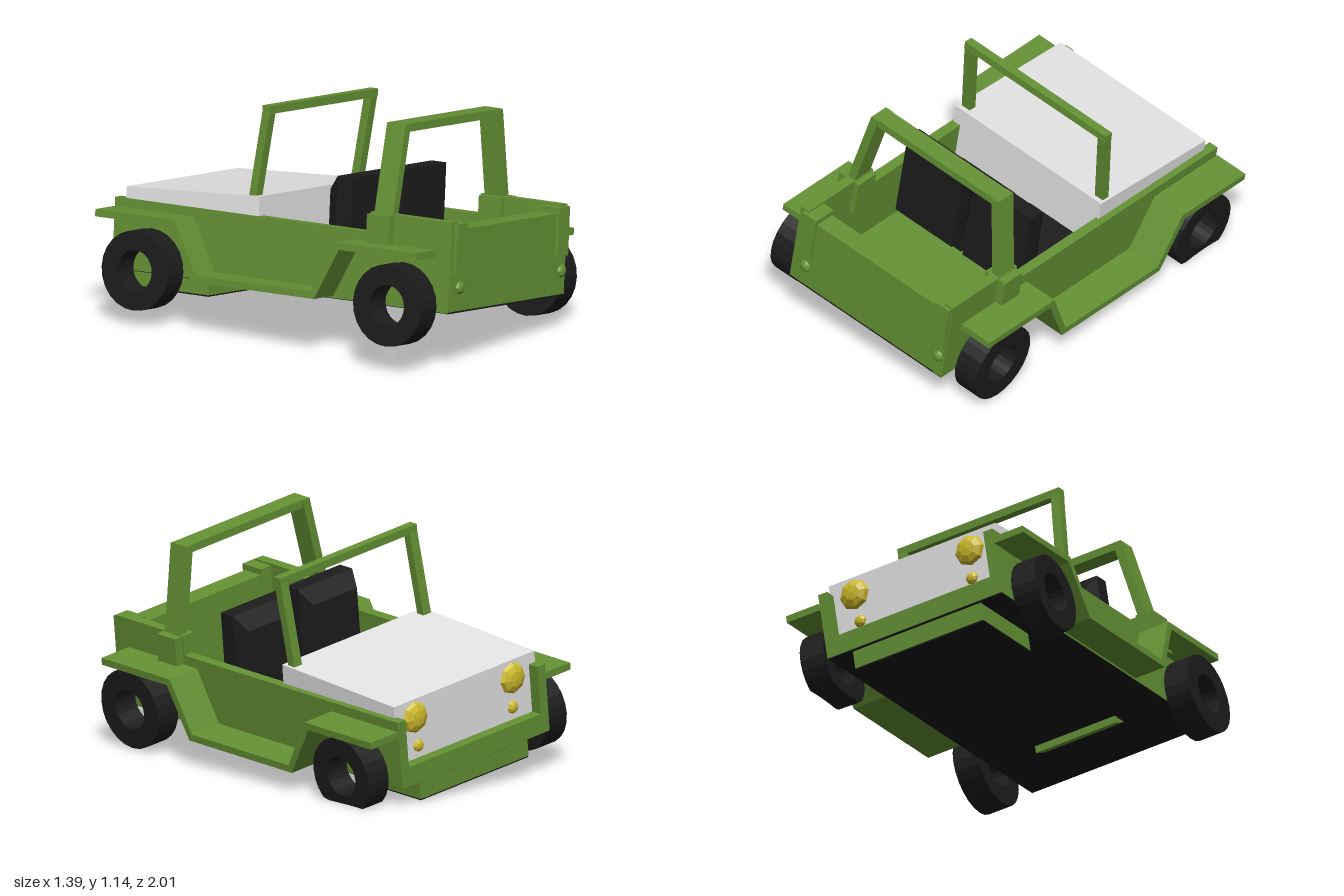
import * as THREE from 'three';

const mat = (name, color) => {
  const m = new THREE.MeshStandardMaterial({ color, flatShading: true });
  m.name = name;
  return m;
};

export function createModel() {
  const green = mat('bodyGreen', 0x649134);
  const black = mat('rubberBlack', 0x1c1c1c);
  const under = mat('undersideBlack', 0x161616);
  const grey = mat('hoodGrey', 0xe4e4e4);
  const gold = mat('lampGold', 0xd0bc2a);

  // The vehicle leans to one side and noses down slightly
  const root = new THREE.Group();
  root.name = 'openOffRoader';
  const car = new THREE.Group();
  car.name = 'car';
  car.rotation.set(-0.042, 0, -0.13, 'ZYX');
  car.position.set(-0.0426, 0.0056, 0);
  car.updateMatrix();
  root.add(car);

  const add = (name, geo, material, parent = car) => {
    const m = new THREE.Mesh(geo, material);
    m.name = name;
    parent.add(m);
    return m;
  };
  // Box from its minimum and maximum on each axis
  const box = (name, material, x0, x1, y0, y1, z0, z1) =>
    add(name, new THREE.BoxGeometry(x1 - x0, y1 - y0, z1 - z0)
      .translate((x0 + x1) / 2, (y0 + y1) / 2, (z0 + z1) / 2), material);
  // Side profile of [z, y] points, extruded from x0 to x1
  const profile = (name, material, pts, x0, x1) => {
    const shape = new THREE.Shape(pts.map(p => new THREE.Vector2(p[0], p[1])));
    const geo = new THREE.ExtrudeGeometry(shape, { depth: x1 - x0, bevelEnabled: false });
    return add(name, geo.rotateY(-Math.PI / 2).translate(x1, 0, 0), material);
  };
  // Mirrored x range, with an optional sideways shift
  const sided = (s, a, b, shift = 0) => (s > 0 ? [a + shift, b + shift] : [shift - b, shift - a]);

  // Tub floor, tailgate and front lip
  box('floor', green, -0.49, 0.49, 0.195, 0.215, -0.97, 0.99);
  box('underside', under, -0.488, 0.488, 0.187, 0.195, -0.975, 0.995);
  box('tailgate', green, -0.45, 0.45, 0.195, 0.595, 0.89, 0.995);
  box('tailgateUpperPanel', green, -0.485, 0.485, 0.32, 0.595, 0.99, 1.0);
  box('frontLip', green, -0.45, 0.45, 0.19, 0.29, -0.98, -0.91);
  profile('rearUnderWedge', green, [[0.57, 0.15], [0.67, 0.19], [0.57, 0.19]], -0.225, 0.225);

  // Box under the nose
  box('noseBox', green, -0.36, 0.36, 0.095, 0.19, -0.96, -0.5);
  box('noseBoxUnderside', under, -0.358, 0.358, 0.088, 0.095, -0.958, -0.502);

  // Hood
  profile('hood', grey, [[-0.92, 0.27], [-0.14, 0.27], [-0.14, 0.632], [-0.92, 0.592]], -0.482, 0.457);

  const wall = [[0.995, 0.19], [0.995, 0.635], [0.52, 0.635], [0.52, 0.535], [-0.98, 0.535], [-0.98, 0.19]];
  const flange = [[0.91, 0.49], [0.43, 0.49], [0.3, 0.235], [-0.38, 0.235], [-0.515, 0.49], [-0.98, 0.49],
    [-0.98, 0.455], [-0.54, 0.455], [-0.4, 0.2], [0.32, 0.2], [0.455, 0.455], [0.91, 0.455]];

  for (const s of [1, -1]) {
    profile('sideWall', green, wall, ...sided(s, 0.44, 0.491));
    profile('fenderAndSill', green, flange, ...sided(s, 0.485, 0.667, 0.012));
    box('rearCornerStrip', green, ...sided(s, 0.385, 0.475, 0.011), 0.385, 0.625, 0.885, 1.015);
    box('rollBarBase', green, ...sided(s, 0.41, 0.537), 0.44, 0.63, 0.53, 0.66);

    // Roll bar post leaning inwards
    const post = new THREE.BoxGeometry(0.045, 0.45, 0.11).translate(0, 0.225, 0);
    const pp = post.attributes.position;
    for (let i = 0; i < pp.count; i++) pp.setX(i, pp.getX(i) - s * 0.18 * pp.getY(i));
    add('rollBarPost', post.translate(s * 0.47, 0.615, 0.595), green);

    // Windshield post leaning backwards
    profile('windshieldPost', green,
      [[-0.215, 0.6], [-0.172, 0.6], [-0.106, 1.073], [-0.149, 1.073]], ...sided(s, 0.405, 0.456, -0.013));

    // Lamps
    const lamp = (name, m, r, x, y, z, flat) => {
      const g = new THREE.SphereGeometry(r, 8, 6).rotateX(Math.PI / 2).scale(1, 1, flat);
      add(name, g.translate(x, y, z), m);
    };
    lamp('headlight', gold, 0.08, s * 0.325, 0.5, -0.92, 0.45);
    lamp('frontMarker', gold, 0.033, s * 0.315, 0.352, -0.92, 0.6);
    lamp('tailLight', green, 0.033, s * 0.43 + 0.025, 0.31, 1.0, 0.6);

    // Seat: cushion, back slab and tapered front padding
    const [a, b] = sided(s, 0.035, 0.398);
    box('seatCushion', black, a + 0.02, b - 0.004, 0.215, 0.38, -0.12, 0.25);
    box('seatBack', black, a, b, 0.3, 0.77, 0.255, 0.34);
    const pad = new THREE.BoxGeometry(b - a, 0.47, 0.065);
    const q = pad.attributes.position;
    for (let i = 0; i < q.count; i++) {
      if (q.getZ(i) < 0) {
        q.setX(i, q.getX(i) * 0.8);
        if (q.getY(i) > 0) q.setY(i, q.getY(i) - 0.075);
      }
    }
    add('seatPadding', pad.translate((a + b) / 2, 0.535, 0.2225), black);
  }

  // Cross bars
  box('rollBarTop', green, -0.41, 0.41, 1.027, 1.067, 0.545, 0.645);
  box('windshieldTopBar', green, -0.469, 0.443, 1.035, 1.075, -0.153, -0.108);

  // Wheels: open rings, resting flat where they meet the ground
  for (const s of [1, -1]) {
    for (const z of [0.75, -0.735]) {
      const r = z > 0 ? 0.2 : 0.195;
      const ring = [[0.1, -0.066], [r, -0.066], [r, 0.066], [0.1, 0.066], [0.1, -0.066]]
        .map(p => new THREE.Vector2(p[0], p[1]));
      const g = new THREE.LatheGeometry(ring, 24).rotateZ(Math.PI / 2)
        .translate(s * 0.593 + 0.004, s > 0 ? 0.255 : 0.217, z).applyMatrix4(car.matrix);
      const p = g.attributes.position;
      for (let i = 0; i < p.count; i++) p.setY(i, Math.max(0, p.getY(i)));
      add(z > 0 ? 'rearWheel' : 'frontWheel', g, black, root);
    }
  }
  return root;
}
